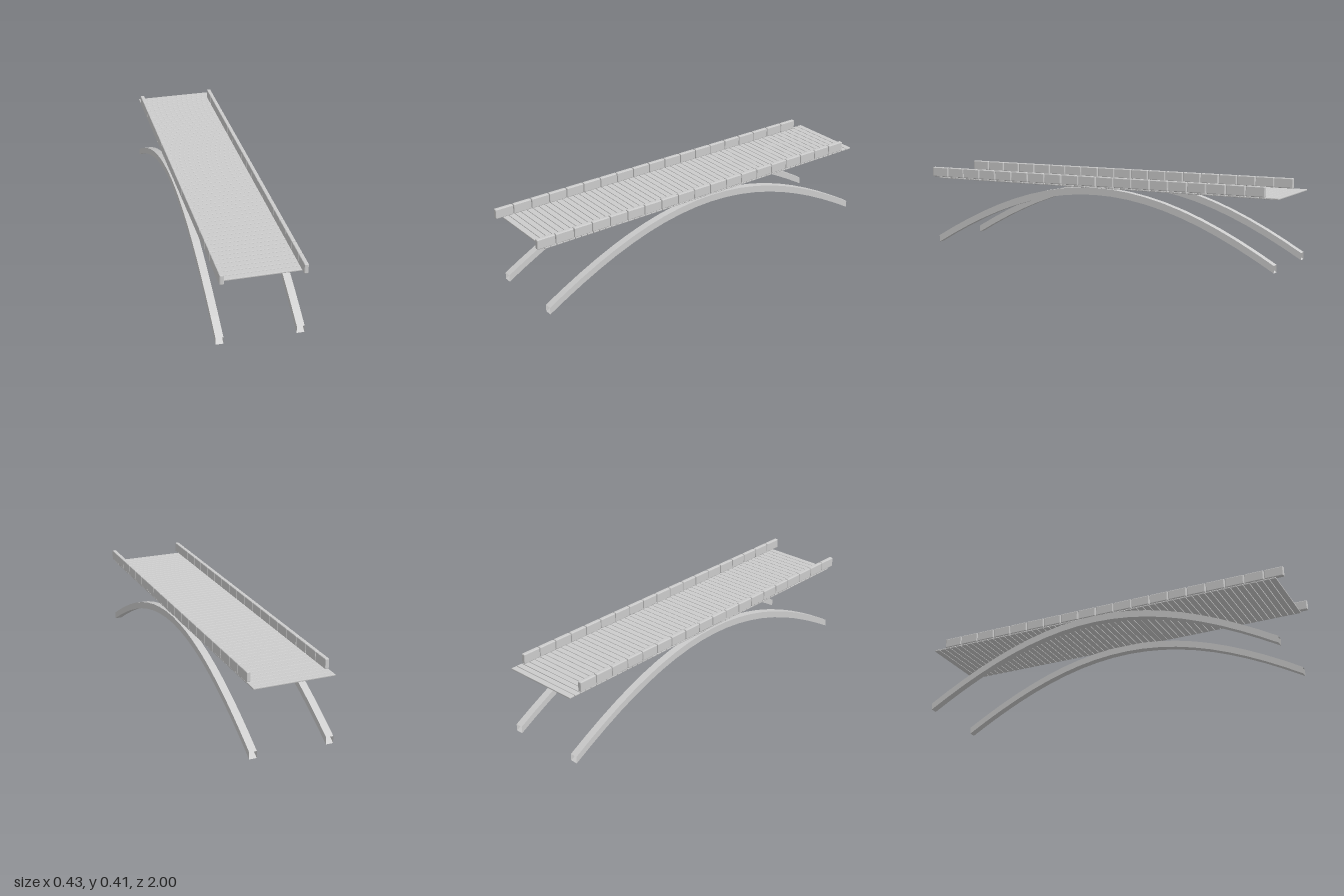
import * as THREE from 'three';
import { RoundedBoxGeometry } from 'three/addons/geometries/RoundedBoxGeometry.js';

const grey = new THREE.MeshStandardMaterial({ color: 0xcccccc, flatShading: true });
const greyOpen = new THREE.MeshStandardMaterial({ color: 0xcccccc, flatShading: true, side: THREE.DoubleSide });

// Hollow square beam bent into an arch, open at both ends
function archGeometry(width, height, zFront, zBack, peak, segments) {
  const positions = [], index = [];
  const mid = (zFront + zBack) / 2, half = (zFront - zBack) / 2;
  for (let i = 0; i <= segments; i++) {
    const t = -1 + (2 * i) / segments;
    const rise = 0.5 * (1 - t * t) + 0.5 * Math.cos((t * Math.PI) / 2);
    const y = (peak - height) * rise, z = mid + half * t;
    for (const [sx, sy] of [[-1, 0], [1, 0], [1, 1], [-1, 1]]) {
      positions.push((sx * width) / 2, y + sy * height, z);
    }
  }
  for (let i = 0; i < segments; i++) {
    for (let k = 0; k < 4; k++) {
      const a = i * 4 + k, b = i * 4 + ((k + 1) % 4);
      index.push(a, b, b + 4, a, b + 4, a + 4);
    }
  }
  const geometry = new THREE.BufferGeometry();
  geometry.setAttribute('position', new THREE.Float32BufferAttribute(positions, 3));
  geometry.setIndex(index);
  const flat = geometry.toNonIndexed();
  flat.computeVertexNormals();
  return flat;
}

// Evenly spaced copies of one piece along z, between two ends
function row(name, pieceName, geometry, count, zStart, zEnd, x, y) {
  const group = new THREE.Group();
  group.name = name;
  const pitch = (zEnd - zStart) / count;
  for (let i = 0; i < count; i++) {
    const mesh = new THREE.Mesh(geometry, grey);
    mesh.name = pieceName;
    mesh.position.set(x, y, zStart + pitch * (i + 0.5));
    group.add(mesh);
  }
  return group;
}

export function createModel() {
  const bridge = new THREE.Group();
  bridge.name = 'footbridge';

  // Deck of narrow cross planks
  const plank = new RoundedBoxGeometry(0.41, 0.008, 0.031, 1, 0.002);
  bridge.add(row('deck', 'plank', plank, 58, -1, 0.96, 0, 0.354));

  // Kerb rails and supporting arches on both sides
  const block = new RoundedBoxGeometry(0.021, 0.051, 0.098, 1, 0.004);
  const arch = archGeometry(0.038, 0.036, 0.955, -0.985, 0.353, 20);
  for (const [side, s] of [['left', 1], ['right', -1]]) {
    bridge.add(row(side + 'Rail', 'railBlock', block, 19, -0.932, 1, s * 0.197, 0.3835));
    const mesh = new THREE.Mesh(arch, greyOpen);
    mesh.name = side + 'Arch';
    mesh.position.x = s * 0.196;
    bridge.add(mesh);
  }
  return bridge;
}
